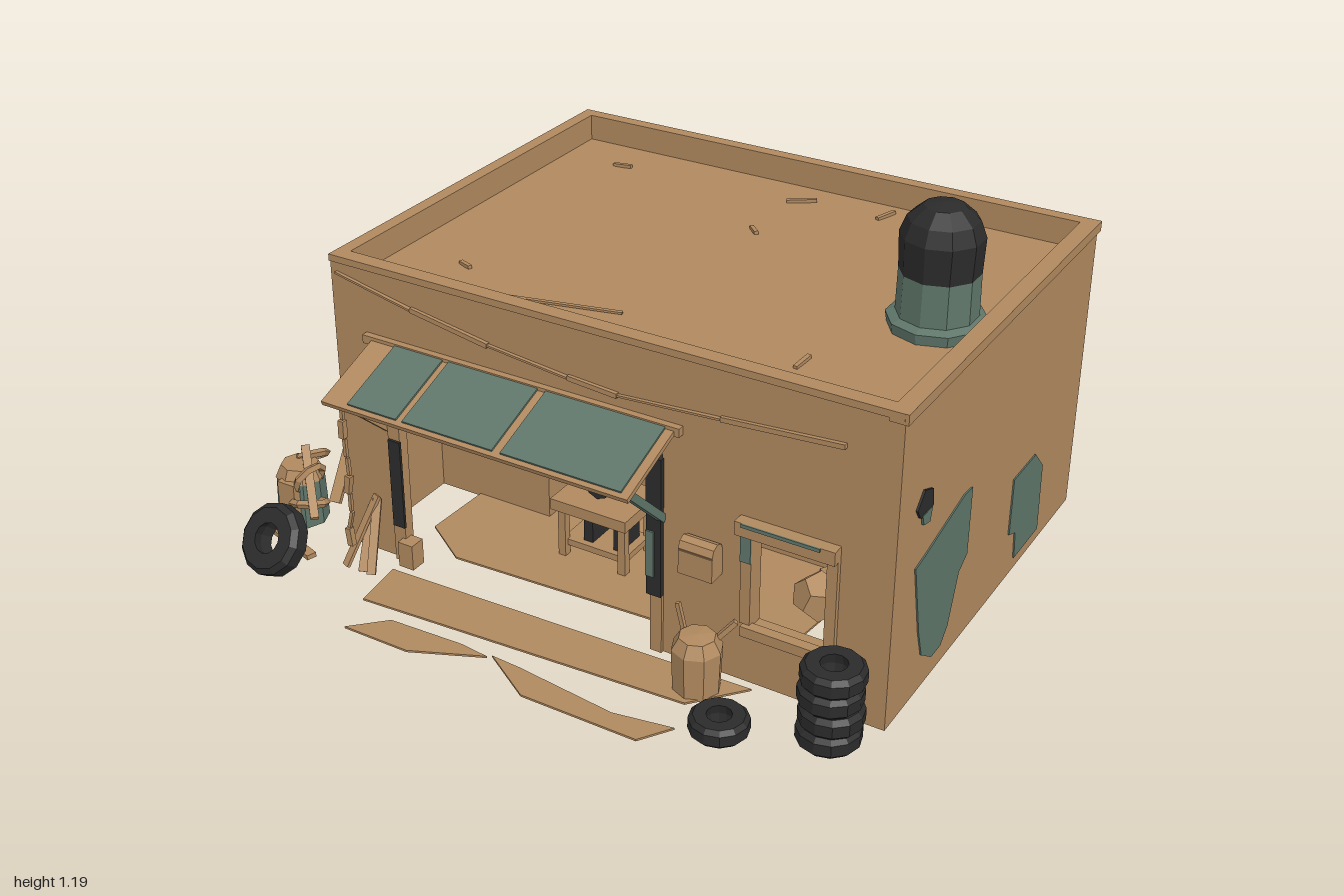
import * as THREE from 'three';

export function createModel() {
  const model = new THREE.Group();
  const mat = (name, color) => {
    const m = new THREE.MeshStandardMaterial({ color, flatShading: true, side: THREE.DoubleSide });
    m.name = name;
    return m;
  };
  const tan = mat('tan', 0xb0895f), teal = mat('teal', 0x5f766a), dark = mat('dark', 0x2b2b2c);

  let seed = 7;
  const rand = (a, b) => {
    seed = (seed * 16807) % 2147483647;
    return a + (b - a) * seed / 2147483647;
  };
  const add = (name, geo, m, pos = [0, 0, 0], rot = [0, 0, 0]) => {
    const mesh = new THREE.Mesh(geo, m);
    mesh.name = name;
    mesh.position.set(...pos);
    mesh.rotation.set(...rot);
    model.add(mesh);
    return mesh;
  };
  // box given by its min and max corners
  const box = (name, m, a, b) => add(name, new THREE.BoxGeometry(b[0] - a[0], b[1] - a[1], b[2] - a[2]), m,
    a.map((v, i) => (v + b[i]) / 2));
  // square bar between two points
  const beam = (name, m, a, b, w, d = w) => {
    const p = new THREE.Vector3(...a), q = new THREE.Vector3(...b);
    const mesh = add(name, new THREE.BoxGeometry(w, d, p.distanceTo(q)), m, p.clone().add(q).multiplyScalar(0.5).toArray());
    mesh.lookAt(q);
    return mesh;
  };
  const shape = pts => new THREE.Shape(pts.map(p => new THREE.Vector2(...p)));
  const plate = (pts, depth = 0.006) => new THREE.ExtrudeGeometry(shape(pts), { depth, bevelEnabled: false });
  // plates whose points are (x, z) on the ground, or (z, y) on a side wall
  const ground = (name, pts, y) => add(name, plate(pts).rotateX(Math.PI / 2), tan, [0, y, 0]);
  const side = (name, pts, m, x) => add(name, plate(pts).rotateY(-Math.PI / 2), m, [x, 0, 0]);
  const rect = (x0, y0, x1, y1) => [[x0, y0], [x1, y0], [x1, y1], [x0, y1]];

  // Outer walls, roof and parapet
  const L = -0.72, R = 0.985, B = -0.82, F = 0.47, H = 0.92;
  const front = shape([[L, 0], [-0.53, 0], [-0.53, 0.61], [0.33, 0.61], [0.33, 0], [R, 0], [R, H], [L, H]]);
  front.holes.push(new THREE.Path(rect(0.6, 0.18, 0.81, 0.47).map(p => new THREE.Vector2(...p))));
  add('frontWall', new THREE.ExtrudeGeometry(front, { depth: 0.04, bevelEnabled: false }), tan, [0, 0, F - 0.04]);
  box('backWall', tan, [L, 0, B], [R, H, B + 0.04]);
  box('leftWall', tan, [R - 0.04, 0, B + 0.04], [R, H, F - 0.04]);
  box('rightWall', tan, [L, 0, B + 0.04], [L + 0.04, H, F - 0.04]);
  box('roof', tan, [L + 0.02, 0.82, B + 0.02], [R - 0.02, 0.84, F - 0.02]);
  box('sideCap', tan, [R - 0.04, H - 0.03, B], [0.995, H, F + 0.005]);
  box('frontCap', tan, [L, H - 0.02, F - 0.04], [R, H, F + 0.006]);

  // Roof debris
  [[-0.47, -0.63, 0.06, 0.1], [0.39, -0.7, 0.07, 1.2], [0.11, -0.41, 0.05, -0.8], [-0.46, 0.21, 0.05, -0.4],
    [0.6, 0.24, 0.07, 1.5], [0.13, -0.67, 0.09, 0.5]].forEach(([x, z, l, r]) =>
    add('roofShard', new THREE.BoxGeometry(l, 0.01, 0.012), tan, [x, 0.845, z], [0, r, 0.05]));
  beam('roofCable', tan, [-0.64, 0.845, 0.41], [0.07, 0.845, 0.24], 0.012, 0.006);

  // Roof vent with dark dome
  const lathe = (pts, n) => new THREE.LatheGeometry(pts.map(p => new THREE.Vector2(...p)), n);
  add('ventBase', lathe([[0.13, 0.84], [0.135, 0.87], [0.11, 0.88], [0.108, 1.0]], 10), teal, [0.8, 0, -0.13]);
  add('ventDome', lathe([[0.108, 1.0], [0.112, 1.1], [0.095, 1.145], [0.055, 1.18], [0, 1.19]], 10), dark, [0.8, 0, -0.13]);

  // Interior floor, partition, back wall and ceiling
  ground('floor', [[-0.7, -0.8], [0.62, -0.8], [0.64, 0.1], [0.62, 0.28], [0.4, 0.36], [-0.4, 0.4], [-0.55, 0.3],
    [-0.54, 0.02], [-0.7, -0.2]], 0.008);
  box('partition', tan, [L + 0.04, 0, 0.04], [-0.29, 0.82, 0.08]);
  box('innerBackWall', tan, [-0.33, 0, -0.4], [0.62, 0.82, -0.36]);
  box('innerSideWall', tan, [-0.33, 0, -0.36], [-0.29, 0.82, 0.04]);
  box('ceiling', tan, [-0.6, 0.64, -0.36], [0.94, 0.66, 0.43]);
  box('shelfBeam', tan, [-0.29, 0.49, -0.3], [0.33, 0.505, -0.2]);
  box('counter', tan, [-0.29, 0, -0.36], [0.9, 0.19, -0.1]);
  box('counterTop', tan, [-0.29, 0.19, -0.36], [0.9, 0.205, -0.08]);
  for (const [x, y, r] of [[-0.18, 0.25, 0.08], [-0.02, 0.26, 0.1], [0.1, 0.28, 0.1], [0.2, 0.24, 0.07]])
    add('counterHeap', new THREE.DodecahedronGeometry(r), tan, [x, y, -0.22], [r * 9, x * 5, y * 7]);
  add('hangingSheet', new THREE.ConeGeometry(0.1, 0.28, 4), tan, [0.15, 0.34, -0.25], [0, 0.4, -0.3]);
  box('bottle', tan, [-0.1, 0.32, -0.25], [-0.05, 0.46, -0.2]);

  // Work table and crates
  box('tableTop', tan, [-0.17, 0.165, 0.05], [0.08, 0.2, 0.25]);
  for (const x of [-0.145, 0.055]) for (const z of [0.08, 0.22]) box('tableLeg', tan, [x - 0.012, 0, z - 0.012], [x + 0.012, 0.17, z + 0.012]);
  box('tableShelf', tan, [-0.15, 0.04, 0.08], [0.06, 0.06, 0.22]);
  add('tableDrum', new THREE.CylinderGeometry(0.04, 0.04, 0.08, 8), dark, [-0.05, 0.245, 0.15], [1.57, 0, 0]);
  box('tableTools', dark, [-0.09, 0.06, 0.1], [-0.06, 0.14, 0.2]);
  box('tableTools', dark, [0.01, 0.06, 0.1], [0.035, 0.14, 0.2]);
  box('crate', tan, [0.16, 0, 0.15], [0.26, 0.11, 0.27]);

  // Rubble in the side room
  for (let i = 0; i < 9; i++) for (let j = 0; j < 4; j++) {
    const s = rand(0.05, 0.075);
    add('rubble', new THREE.DodecahedronGeometry(s), tan,
      [0.64 + j * 0.085 + rand(-0.02, 0.02), 0.08 + rand(-0.01, 0.03), -0.74 + i * 0.11 + rand(-0.02, 0.02)],
      [rand(0, 3), rand(0, 3), rand(0, 3)]);
  }

  // Awning with teal panels
  const awningY = z => 0.61 + (0.71 - z) * 0.375, tilt = Math.atan(0.375);
  const slab = (name, m, x0, x1, z0, z1, t, lift) => add(name, new THREE.BoxGeometry(x1 - x0, t, (z1 - z0) / Math.cos(tilt)), m,
    [(x0 + x1) / 2, awningY((z0 + z1) / 2) + lift, (z0 + z1) / 2], [tilt, 0, 0]);
  slab('awning', tan, -0.58, 0.375, 0.46, 0.71, 0.014, 0);
  for (const [a, b] of [[-0.5, -0.34], [-0.32, -0.035], [-0.01, 0.35]]) slab('awningPanel', teal, a, b, 0.485, 0.7, 0.006, 0.01);
  box('awningHeader', tan, [-0.61, 0.685, F], [0.39, 0.71, F + 0.02]);
  beam('awningStrut', teal, [0.33, 0.6, 0.66], [0.33, 0.42, 0.47], 0.022);
  beam('awningStrut', tan, [-0.56, 0.61, 0.68], [-0.56, 0.42, 0.47], 0.016);
  for (let i = 0; i < 9; i++) {
    const y = 0.1 + i * 0.058;
    beam('chainLink', tan, [-0.6 + rand(-0.01, 0.01), y, 0.61], [-0.6 + rand(-0.01, 0.01), y + 0.055, 0.61], i % 3 ? 0.01 : 0.018);
  }

  // Door jambs
  box('rightJamb', tan, [-0.55, 0.0, 0.45], [-0.51, 0.61, 0.485]);
  box('rightJambCover', dark, [-0.545, 0.12, 0.485], [-0.505, 0.4, 0.493]);
  box('leftJamb', dark, [0.29, 0.18, 0.44], [0.335, 0.6, 0.485]);
  box('leftJambBase', tan, [0.3, 0, 0.44], [0.335, 0.18, 0.48]);
  box('leftJambPaint', teal, [0.29, 0.24, 0.485], [0.315, 0.38, 0.49]);

  // Front window
  box('windowHeader', tan, [0.56, 0.465, F], [0.84, 0.505, F + 0.035]);
  box('windowPaint', teal, [0.58, 0.495, F + 0.035], [0.8, 0.505, F + 0.04]);
  box('windowSill', tan, [0.58, 0.16, F], [0.83, 0.19, F + 0.03]);
  for (const x of [0.57, 0.81]) box('windowJamb', tan, [x, 0.19, F], [x + 0.03, 0.465, F + 0.015]);
  box('jambPaint', teal, [0.57, 0.38, F + 0.015], [0.6, 0.47, F + 0.02]);

  // Wall box and cracked trim
  box('wallBox', tan, [0.41, 0.31, F], [0.51, 0.38, F + 0.055]);
  add('wallBoxLid', new THREE.CylinderGeometry(0.0275, 0.0275, 0.1, 8), tan, [0.46, 0.385, F + 0.027], [0, 0, Math.PI / 2]);
  const trim = [[-0.7, 0.87], [-0.45, 0.82], [-0.2, 0.78], [0.05, 0.755], [0.2, 0.745], [0.5, 0.765], [0.84, 0.79]];
  trim.slice(1).forEach((p, i) => beam('crackedTrim', tan, [...trim[i], F + 0.004], [...p, F + 0.006], 0.012, i % 2 ? 0.014 : 0.006));

  // Paint patches and pipe on the left wall
  side('paintPatch', [[0.35, 0.42], [0.29, 0.43], [0.05, 0.48], [0, 0.475], [0, 0.27], [0.05, 0.24], [0.1, 0.1], [0.14, 0.06],
    [0.2, 0.06], [0.27, 0.11], [0.3, 0.2]], teal, R + 0.004);
  side('paintPatch', [[-0.32, 0.33], [-0.48, 0.33], [-0.55, 0.26], [-0.56, 0.04], [-0.38, 0.04], [-0.37, 0.13], [-0.32, 0.15]], teal, R + 0.004);
  side('pipeHole', [[0.37, 0.6], [0.33, 0.64], [0.28, 0.62], [0.27, 0.57], [0.31, 0.55], [0.35, 0.57]], dark, R + 0.006);
  side('pipePaint', [[0.34, 0.57], [0.28, 0.57], [0.29, 0.53], [0.33, 0.54]], teal, R + 0.008);

  // Right wall window
  side('sideWindowPane', rect(-0.31, 0.14, -0.05, 0.47), teal, L - 0.001);
  for (const z of [-0.34, -0.05]) box('sideWindowJamb', tan, [L - 0.015, 0.11, z], [L, 0.49, z + 0.035]);
  for (const y of [0.11, 0.47]) box('sideWindowRail', tan, [L - 0.02, y, -0.36], [L, y + 0.03, 0]);

  // Back shutter
  for (const [x, m] of [[-0.31, tan], [0.29, teal]]) box('shutterPost', m, [x, 0.03, B - 0.018], [x + 0.025, 0.77, B]);
  for (const y of [0.16, 0.47, 0.69]) box('shutterRail', tan, [-0.3, y, B - 0.02], [0.3, y + 0.025, B]);
  beam('shutterBrace', tan, [0.29, 0.7, B - 0.01], [-0.29, 0.5, B - 0.01], 0.012);
  add('shutterPanel', plate([[-0.29, 0.47], [0.29, 0.47], [0.29, 0.27], [0.1, 0.25], [-0.1, 0.2], [-0.24, 0.18], [-0.29, 0.24]]),
    teal, [0, 0, B - 0.008]);

  // Tyres
  const tyre = (r, h, pos, rot) => add('tyre', lathe([[0.42, -0.5], [0.85, -0.5], [1, -0.28], [1, 0.28], [0.85, 0.5], [0.42, 0.5],
    [0.5, 0], [0.42, -0.5]].map(([a, b]) => [a * r, b * h]), 12), dark, pos, rot);
  for (let i = 0; i < 4; i++) tyre(0.086, 0.06, [0.88 + (i % 2) * 0.005, 0.03 + i * 0.06, 0.575], [0, i, 0]);
  tyre(0.08, 0.055, [0.63, 0.03, 0.69]);
  tyre(0.105, 0.07, [-0.8, 0.105, 0.71], [0.95, 0, 0.1]);

  // Barrel with coils and scrap at the right
  const barrel = new THREE.CylinderGeometry(0.07, 0.075, 0.15, 8);
  add('barrel', barrel, teal, [-0.92, 0.08, 0.45]);
  add('barrelRim', new THREE.CylinderGeometry(0.055, 0.073, 0.04, 8), tan, [-0.92, 0.17, 0.45]);
  box('barrelBand', tan, [-0.94, 0.01, 0.45], [-0.88, 0.16, 0.53]);
  for (const [x, y, z, r] of [[-0.94, 0.17, 0.38, 0.5], [-0.87, 0.16, 0.47, 1.1], [-0.85, 0.1, 0.5, 0.2]])
    add('coil', new THREE.TorusGeometry(0.05, 0.012, 4, 8), tan, [x, y, z], [1.2, r, 0]);
  beam('scrapBar', tan, [-0.86, 0.22, 0.27], [-0.84, 0.05, 0.4], 0.035, 0.015);
  beam('scrapBar', tan, [-0.92, 0.23, 0.42], [-0.78, 0.1, 0.56], 0.025, 0.015);
  beam('scrapBar', tan, [-0.97, 0.015, 0.55], [-0.75, 0.015, 0.62], 0.03, 0.015);

  // Canister and planks beside the door
  add('canister', lathe([[0, 0], [0.065, 0], [0.07, 0.13], [0.05, 0.165], [0, 0.17]], 8), tan, [0.49, 0, 0.56]);
  beam('canisterHandle', tan, [0.44, 0.15, 0.54], [0.42, 0.23, 0.54], 0.012);
  beam('canisterPipe', tan, [0.53, 0.15, 0.52], [0.57, 0.2, 0.5], 0.014);
  for (const [x0, x1, h] of [[-0.64, -0.6, 0.2], [-0.58, -0.62, 0.16], [-0.55, -0.6, 0.19]])
    beam('scrapPlank', tan, [x0, 0.01, 0.6], [x1, h, 0.49], 0.025, 0.01);
  box('doorBlock', tan, [-0.52, 0, 0.46], [-0.47, 0.08, 0.51]);

  // Loose sheets on the ground
  ground('groundSheet', [[-0.52, 0.54], [0.62, 0.5], [0.5, 0.64], [-0.5, 0.7]], 0.006);
  ground('groundSheet', [[-0.46, 0.83], [-0.37, 0.74], [-0.14, 0.73], [-0.05, 0.74], [-0.25, 0.83]], 0.006);
  ground('groundSheet', [[-0.04, 0.73], [0.05, 0.735], [0.36, 0.77], [0.53, 0.74], [0.47, 0.83], [0.12, 0.83]], 0.006);
  return model;
}
